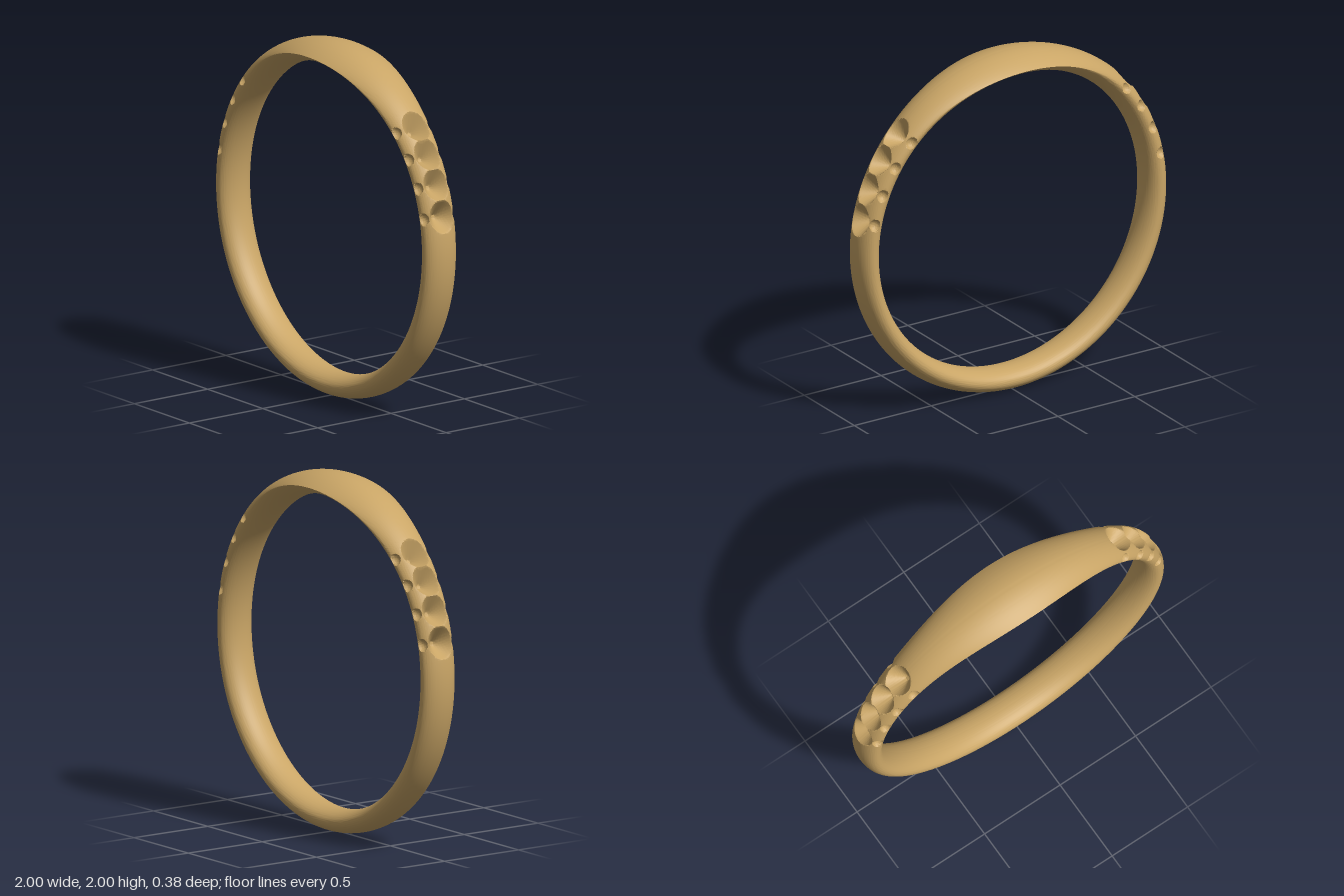
import * as THREE from 'three';
import { toCreasedNormals } from 'three/addons/utils/BufferGeometryUtils.js';

const RAD = Math.PI / 180;
const MID = 0.935, HALF = 0.065;          // middle radius and half thickness of the band
const SECTION = 128;                      // points around the cross-section
const seatAngles = [12.4, 22.7, 32.7, 42.6];
const seats = [...seatAngles, ...seatAngles.map(a => 180 - a)];

// 1 at the top of the ring, fading to 0 down the shoulders
const crown = deg => Math.exp(-(((deg - 90) / 36) ** 2));
const halfWidth = deg => 0.105 + 0.085 * crown(deg);

// Conical stone seat, cut along the radius through the outer face
function cutSeat(p, deg) {
  const c = Math.cos(deg * RAD), s = Math.sin(deg * RAD);
  const along = p.x * c + p.y * s;
  const across = Math.hypot(p.x * s - p.y * c, p.z);
  const floor = Math.max(0.9, 0.885 + 1.2 * across);
  if (along > floor) {
    p.x += (floor - along) * c;
    p.y += (floor - along) * s;
  }
}

// Small round dimple in each flank beside a seat
function cutDimple(p, deg) {
  const R = 0.035, r = 0.957;
  const zc = halfWidth(deg) * 0.94 + 0.01;
  const dx = p.x - r * Math.cos(deg * RAD), dy = p.y - r * Math.sin(deg * RAD);
  const left = R * R - dx * dx - dy * dy;
  if (left <= 0) return;
  const limit = zc - Math.sqrt(left);
  if (Math.abs(p.z) > limit) p.z = Math.sign(p.z) * limit;
}

// Steps round the ring, finer where the seats are
function ringAngles() {
  const list = [];
  const span = (from, to, n) => {
    for (let i = 0; i < n; i++) list.push(from + (to - from) * i / n);
  };
  span(6, 49, 122);
  span(49, 131, 48);
  span(131, 174, 122);
  span(174, 366, 100);
  return list;
}

function bandGeometry() {
  const angles = ringAngles(), n = angles.length;
  const positions = [], index = [];
  const p = new THREE.Vector3();
  angles.forEach((deg, i) => {
    const w = halfWidth(deg);
    const power = 1 + crown(deg);         // oval section below, sharp-edged lens on top
    for (let j = 0; j < SECTION; j++) {
      const a = j / SECTION * Math.PI * 2, s = Math.sin(a);
      const r = MID + HALF * Math.sign(s) * Math.abs(s) ** power;
      p.set(r * Math.cos(deg * RAD), r * Math.sin(deg * RAD), w * Math.cos(a));
      for (const seat of seats) {
        if (Math.abs(seat - deg) > 8) continue;
        if (s > 0) cutSeat(p, seat);
        cutDimple(p, seat);
      }
      positions.push(p.x, p.y + 1, p.z);
      const i2 = (i + 1) % n, j2 = (j + 1) % SECTION;
      const A = i * SECTION + j, B = i * SECTION + j2;
      const C = i2 * SECTION + j2, D = i2 * SECTION + j;
      index.push(A, B, D, B, C, D);
    }
  });
  const g = new THREE.BufferGeometry();
  g.setAttribute('position', new THREE.Float32BufferAttribute(positions, 3));
  g.setIndex(index);
  return toCreasedNormals(g, 0.6);
}

export function createModel() {
  const group = new THREE.Group();
  group.name = 'ring';
  const gold = new THREE.MeshStandardMaterial({ color: 0xc9a566 });
  const band = new THREE.Mesh(bandGeometry(), gold);
  band.name = 'bandWithStoneSeats';
  group.add(band);
  return group;
}
